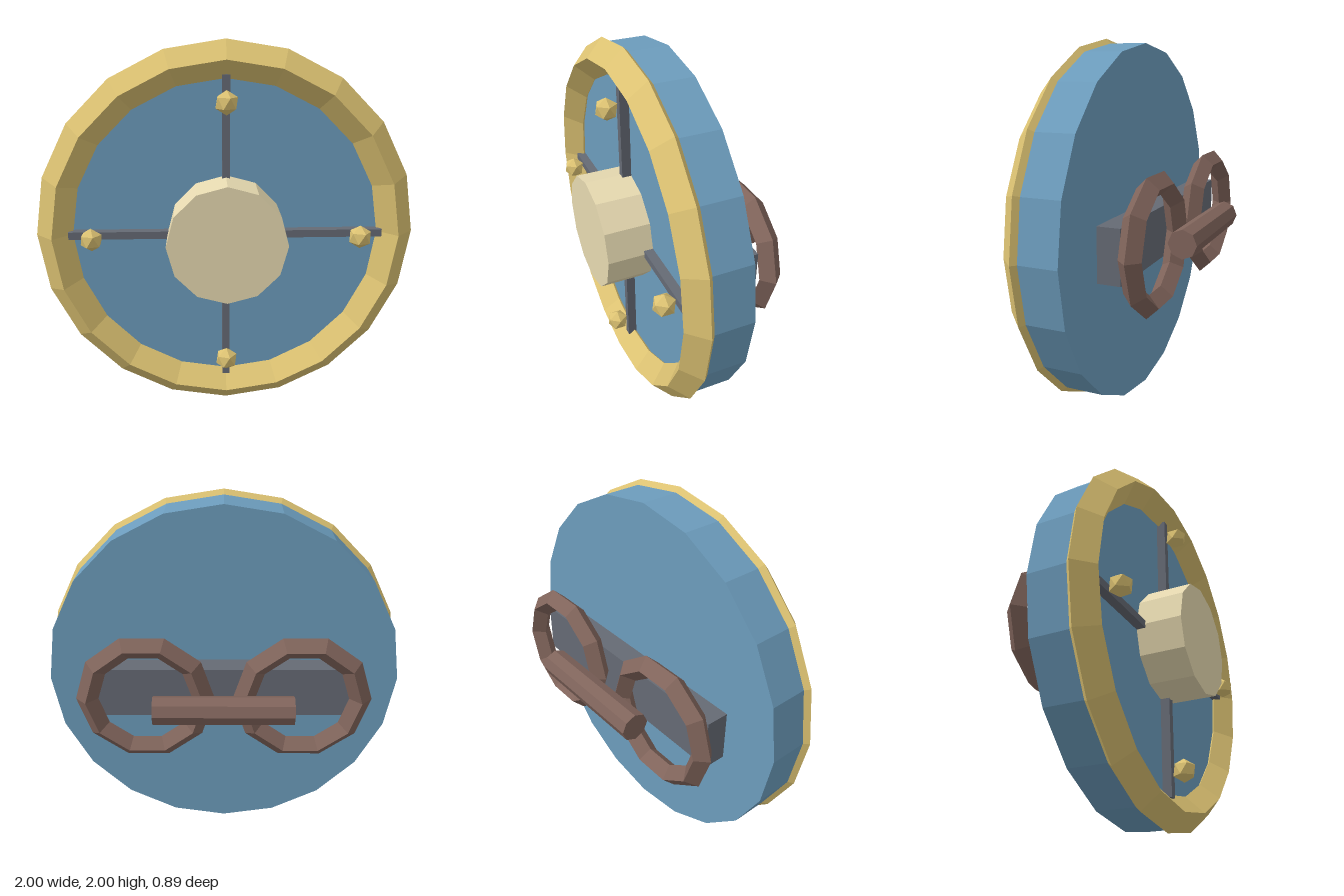
import * as THREE from 'three';

export function createModel() {
  const root = new THREE.Group();
  root.name = 'roundShield';
  // everything is built around the disc's centre
  const body = new THREE.Group();
  body.name = 'shieldBody';
  body.position.y = 1;
  root.add(body);

  const paint = (color) => new THREE.MeshStandardMaterial({ color, flatShading: true });
  const blue = paint(0x6c9cbc), gold = paint(0xdcc272), cream = paint(0xe6d9b0);
  const iron = paint(0x656a74), leather = paint(0x80645b);

  const add = (name, geometry, material, x = 0, y = 0, z = 0) => {
    const mesh = new THREE.Mesh(geometry, material);
    mesh.name = name;
    mesh.position.set(x, y, z);
    body.add(mesh);
    return mesh;
  };

  // cylinder lying along z between two depths
  const plate = (name, radius, z0, z1, sides, material) =>
    add(name, new THREE.CylinderGeometry(radius, radius, z1 - z0, sides).rotateX(Math.PI / 2),
      material, 0, 0, (z0 + z1) / 2);

  plate('disc', 0.975, -0.02, 0.2, 20, blue);
  plate('boss', 0.31, 0.19, 0.447, 12, cream);

  // diamond-section rim
  add('rim', new THREE.TorusGeometry(0.905, 0.095, 4, 20), gold, 0, 0, 0.213);

  // crossed straps on the face
  add('horizontalStrap', new THREE.BoxGeometry(1.66, 0.04, 0.06), iron, 0, 0, 0.22);
  add('verticalStrap', new THREE.BoxGeometry(0.04, 1.66, 0.06), iron, 0, 0, 0.22);

  // studs near the strap ends, each with a corner pointing up
  const studGeometry = new THREE.IcosahedronGeometry(0.062, 0)
    .rotateZ(-Math.atan2(2, 1 + Math.sqrt(5)));
  for (let i = 0; i < 4; i++) {
    const a = i * Math.PI / 2;
    add('stud', studGeometry, gold, 0.7 * Math.cos(a), 0.7 * Math.sin(a), 0.312);
  }

  // grip on the back: plate, two rings, bar
  add('backPlate', new THREE.BoxGeometry(1.39, 0.28, 0.122), iron, 0, 0, -0.127);
  for (const side of [-1, 1]) {
    add(side > 0 ? 'leftRing' : 'rightRing',
      new THREE.TorusGeometry(0.31, 0.06, 4, 10), leather, side * 0.417, 0, -0.248);
  }
  add('gripBar', new THREE.CylinderGeometry(0.077, 0.077, 0.73, 8).rotateZ(Math.PI / 2),
    leather, 0, 0, -0.37);

  return root;
}
